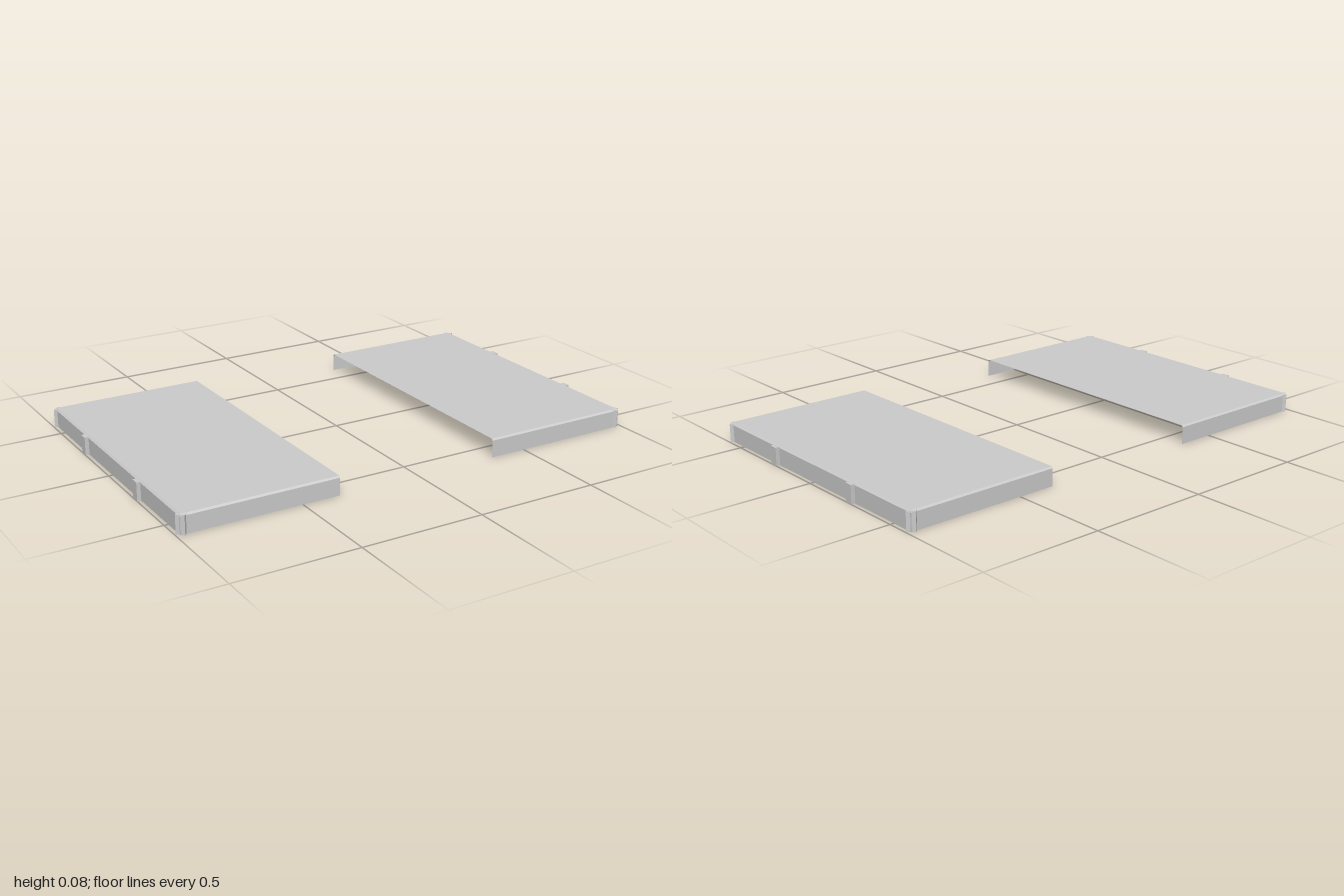
import * as THREE from 'three';

const INNER = 0.345, OUTER = 0.984, DEPTH = 0.6;
const HEIGHT = 0.077, BEVEL = 0.007, POST = 0.035, POST_TOP = 0.074;

const material = new THREE.MeshStandardMaterial({
  color: 0xcccccc, flatShading: true, side: THREE.DoubleSide,
});

// U-shaped outline of a tray at one height, open on the inner side
const outline = (y, inset) => [
  [INNER, y, DEPTH - inset], [OUTER - inset, y, DEPTH - inset],
  [OUTER - inset, y, -DEPTH + inset], [INNER, y, -DEPTH + inset],
];

// Thin sheet shell: walls, bevelled rim and top panel
function shellGeometry() {
  const rings = [outline(0, 0), outline(HEIGHT - BEVEL, 0), outline(HEIGHT, BEVEL)];
  const index = [];
  for (let r = 0; r < 2; r++) {
    for (let i = 0; i < 3; i++) {
      const a = r * 4 + i;
      index.push(a, a + 1, a + 5, a, a + 5, a + 4);
    }
  }
  index.push(8, 9, 10, 8, 10, 11);
  const geometry = new THREE.BufferGeometry();
  geometry.setAttribute('position', new THREE.Float32BufferAttribute(rings.flat(2), 3));
  geometry.setIndex(index);
  const flat = geometry.toNonIndexed();
  flat.computeVertexNormals();
  return flat;
}

function addPost(tray, name, x, z, angle) {
  const post = new THREE.Mesh(new THREE.BoxGeometry(POST, POST_TOP, POST), material);
  post.name = name;
  post.position.set(x, POST_TOP / 2, z);
  post.rotation.y = angle;
  tray.add(post);
}

function createTray(name) {
  const tray = new THREE.Group();
  tray.name = name;
  const shell = new THREE.Mesh(shellGeometry(), material);
  shell.name = 'trayShell';
  tray.add(shell);
  for (const s of [1, -1]) {
    // Diagonal corner post and square rib on the outer wall
    addPost(tray, s > 0 ? 'frontCornerPost' : 'backCornerPost', 0.97, s * 0.585, Math.PI / 4);
    addPost(tray, s > 0 ? 'frontRib' : 'backRib', 1 - POST / 2, s * 0.25, 0);
  }
  return tray;
}

export function createModel() {
  const model = new THREE.Group();
  model.name = 'pairedTrays';
  const left = createTray('leftTray');
  const right = createTray('rightTray');
  right.rotation.y = Math.PI;
  model.add(left, right);
  return model;
}
